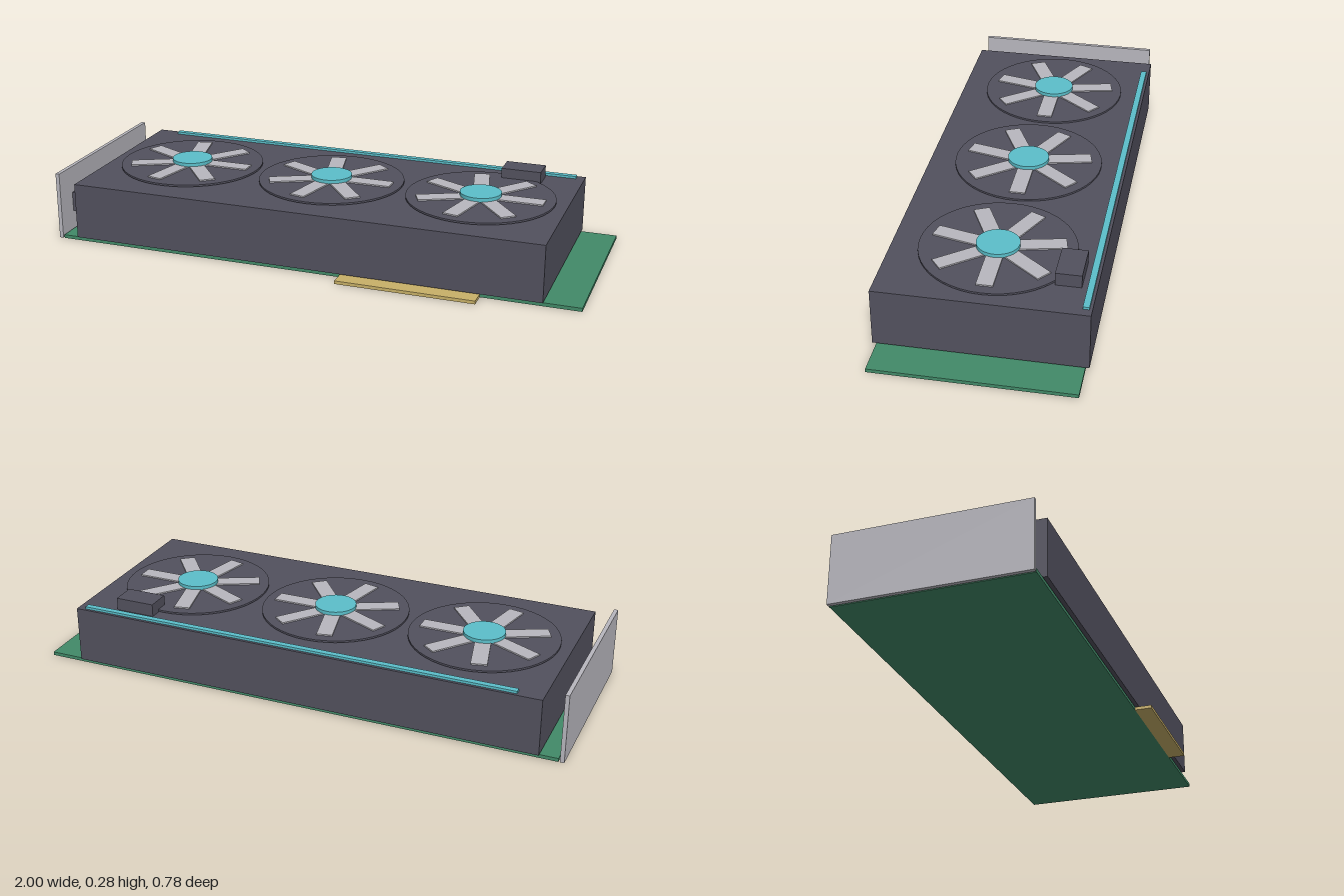
import * as THREE from 'three';

const material = (name, color) => {
  const m = new THREE.MeshStandardMaterial({ color });
  m.name = name;
  return m;
};

export function createModel() {
  const charcoal = material('charcoal', 0x52515e);
  const green = material('boardGreen', 0x428a68);
  const gold = material('gold', 0xc8b068);
  const silver = material('silver', 0xb8b7be);
  const cyan = material('cyan', 0x5bbfca);

  const model = new THREE.Group();
  model.name = 'graphicsCard';

  // Box given by its limits along each axis
  const box = (name, mat, [x0, x1], [y0, y1], [z0, z1], parent = model) => {
    const mesh = new THREE.Mesh(new THREE.BoxGeometry(x1 - x0, y1 - y0, z1 - z0), mat);
    mesh.position.set((x0 + x1) / 2, (y0 + y1) / 2, (z0 + z1) / 2);
    mesh.name = name;
    parent.add(mesh);
    return mesh;
  };

  const disc = (name, mat, radius, y0, y1, parent) => {
    const mesh = new THREE.Mesh(new THREE.CylinderGeometry(radius, radius, y1 - y0, 48), mat);
    mesh.position.y = (y0 + y1) / 2;
    mesh.name = name;
    parent.add(mesh);
  };

  // Circuit board, edge connector and cooler shroud
  box('circuitBoard', green, [-0.98, 1], [0, 0.013], [-0.376, 0.327]);
  box('edgeConnector', gold, [0.135, 0.645], [0, 0.012], [0.327, 0.39]);
  box('shroud', charcoal, [-0.915, 0.867], [0.017, 0.228], [-0.39, 0.34]);

  // Mounting bracket with three ports on its inner side
  box('bracket', silver, [-1, -0.985], [0, 0.256], [-0.376, 0.327]);
  for (const z of [-0.238, -0.03, 0.183]) {
    box('port', charcoal, [-0.986, -0.97], [0.08, 0.155], [z - 0.058, z + 0.058]);
  }

  // Light strip and power socket on the shroud
  box('lightStrip', cyan, [-0.825, 0.835], [0.226, 0.237], [-0.38, -0.358]);
  box('powerSocket', charcoal, [0.573, 0.722], [0.226, 0.275], [-0.339, -0.249]);

  // Three fans, each with a base disc, seven blades and a hub
  for (const x of [-0.6, -0.025, 0.55]) {
    const fan = new THREE.Group();
    fan.name = 'fan';
    fan.position.set(x, 0, -0.026);
    disc('fanDisc', charcoal, 0.273, 0.231, 0.238, fan);
    for (let i = 0; i < 7; i++) {
      const pivot = new THREE.Group();
      pivot.name = 'bladePivot';
      pivot.rotation.y = (i / 7) * Math.PI * 2;
      box('blade', silver, [0.05, 0.235], [0.237, 0.243], [-0.029, 0.029], pivot);
      fan.add(pivot);
    }
    disc('hub', cyan, 0.076, 0.241, 0.256, fan);
    model.add(fan);
  }

  return model;
}
